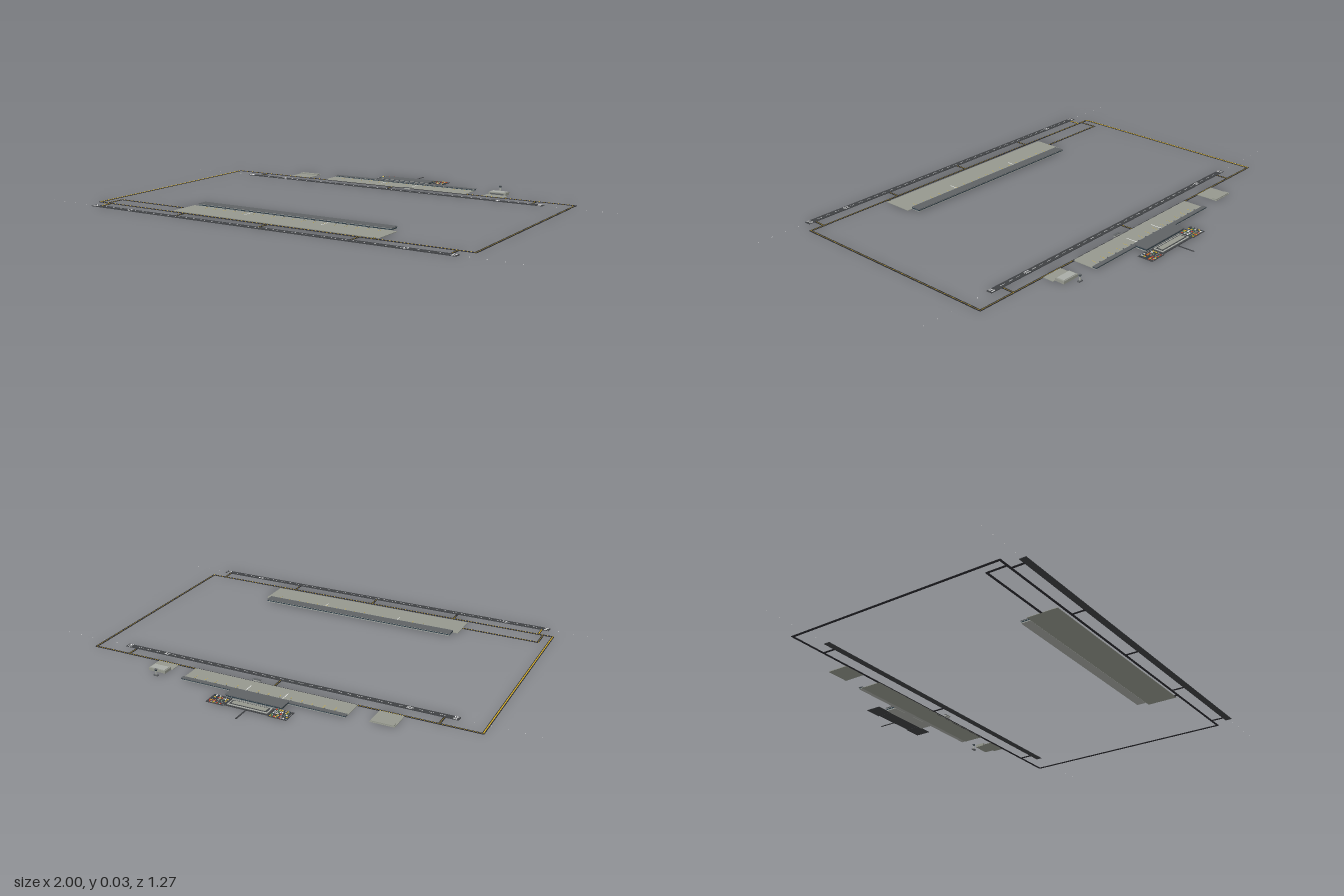
import * as THREE from 'three';

const mat = (name, color) => {
  const m = new THREE.MeshStandardMaterial({ color });
  m.name = name;
  return m;
};

export function createModel() {
  const M = {
    asphalt: mat('asphalt', 0x3f4144),
    taxi: mat('taxiway', 0x2c2c30),
    concrete: mat('concrete', 0x95988e),
    roof: mat('roof grey', 0x5f6265),
    white: mat('white paint', 0xeeeeee),
    yellow: mat('yellow paint', 0xd9b020),
    wall: mat('light wall', 0xa9aca6),
    glass: mat('dark glass', 0x30404a),
    red: mat('red', 0xc8442e),
    green: mat('green', 0x4f7d5a),
  };
  const root = new THREE.Group();

  // Box given by its limits in x, z and y
  const slab = (name, m, x0, x1, z0, z1, y0, y1, parent = root) => {
    const mesh = new THREE.Mesh(new THREE.BoxGeometry(x1 - x0, y1 - y0, z1 - z0), m);
    mesh.position.set((x0 + x1) / 2, (y0 + y1) / 2, (z0 + z1) / 2);
    mesh.name = name;
    parent.add(mesh);
    return mesh;
  };
  const group = (name) => {
    const g = new THREE.Group();
    g.name = name;
    root.add(g);
    return g;
  };

  // Runways with centre dashes, threshold bars and approach lights
  const runway = (name, half, z, w) => {
    const g = group(name), h = w / 2;
    slab('runwaySurface', M.asphalt, -half, half, z - h, z + h, 0, 0.002, g);
    const n = Math.round(half / 0.04);
    for (let i = -n + 2; i <= n - 2; i++)
      slab('centreDash', M.white, i * 0.04 - 0.01, i * 0.04 + 0.01, z - 0.0008, z + 0.0008, 0.002, 0.0023, g);
    for (const s of [-1, 1]) {
      for (let k = -3; k <= 3; k++) {
        if (!k) continue;
        const x = s * (half - 0.014), zz = z + k * w * 0.13;
        slab('thresholdBar', M.white, x - 0.008, x + 0.008, zz - 0.0008, zz + 0.0008, 0.002, 0.0023, g);
      }
      for (const k of [-1, 1]) {
        const x = s * (half - 0.19), zz = z + k * w * 0.22;
        slab('aimingMark', M.white, x - 0.012, x + 0.012, zz - 0.0015, zz + 0.0015, 0.002, 0.0023, g);
      }
      for (let x = 0.999; x > half + 0.03; x -= 0.06)
        slab('approachLight', M.white, s * x - 0.001, s * x + 0.001, z - 0.001, z + 0.001, 0, 0.002, g);
    }
  };
  runway('northRunway', 0.705, -0.298, 0.025);
  runway('southRunway', 0.78, 0.608, 0.027);

  // Taxiways: dark strips with a thin yellow centre line
  const taxiways = group('taxiways');
  const taxi = (x0, z0, x1, z1, w = 0.009) => {
    const strip = (name, m, hw, y0, y1) => {
      const px = x0 === x1 ? hw : 0, pz = z0 === z1 ? hw : 0;
      slab(name, m, x0 - px, x1 + px, z0 - pz, z1 + pz, y0, y1, taxiways);
    };
    strip('taxiway', M.taxi, w / 2, 0, 0.0016);
    strip('taxiLine', M.yellow, 0.0006, 0.0016, 0.0018);
  };
  taxi(-0.815, -0.363, 0.815, -0.363);
  taxi(-0.815, 0.543, 0.815, 0.543);
  taxi(-0.811, -0.363, -0.811, 0.543, 0.01);
  taxi(0.811, -0.363, 0.811, 0.543, 0.01);
  slab('westTaxiLine', M.yellow, -0.813, -0.809, -0.358, 0.538, 0.0017, 0.002, taxiways);
  for (const x of [-0.652, 0, 0.652]) taxi(x, -0.363, x, -0.308);
  for (const x of [-0.75, -0.38, 0, 0.38, 0.75]) taxi(x, 0.543, x, 0.597);
  slab('westLinkLine', M.yellow, -0.752, -0.748, 0.548, 0.595, 0.0017, 0.002, taxiways);
  taxi(-0.774, 0.463, -0.449, 0.463);
  taxi(-0.77, 0.463, -0.77, 0.543);
  taxi(0.433, 0.525, 0.433, 0.543);

  // Apron with stand lines, a long terminal and its jet bridges
  const concourse = (name, ax, az0, az1, tx, tz0, tz1, h, gateZ, dir) => {
    const g = group(name);
    slab('apron', M.concrete, -ax, ax, az0, az1, 0, 0.002, g);
    slab('terminalWall', M.wall, -tx + 0.002, tx - 0.002, tz0 + 0.001, tz1 - 0.001, 0, h - 0.002, g);
    slab('terminalGlass', M.glass, -tx + 0.001, tx - 0.001, tz0 + 0.0005, tz1 - 0.0005, h * 0.3, h * 0.65, g);
    slab('terminalRoof', M.roof, -tx, tx, tz0, tz1, h - 0.002, h, g);
    const n = Math.floor(tx / 0.045);
    for (let i = -n; i < n; i++) {
      const x = (i + 0.5) * 0.045, z1 = gateZ + dir * 0.008;
      slab('jetBridge', M.roof, x - 0.002, x + 0.002, Math.min(gateZ, z1), Math.max(gateZ, z1), 0.003, 0.006, g);
      slab('standLine', M.yellow, x + 0.009, x + 0.0098, gateZ + 0.012, gateZ + 0.035, 0.002, 0.0023, g);
    }
    return g;
  };
  const south = concourse('southTerminal', 0.449, 0.404, 0.529, 0.428, 0.363, 0.404, 0.011, 0.404, 1);
  for (const x of [-0.17, 0.17])
    slab('apronLine', M.white, x - 0.0015, x + 0.0015, 0.41, 0.455, 0.002, 0.0023, south);
  const north = concourse('northTerminal', 0.342, -0.452, -0.361, 0.342, -0.468, -0.45, 0.008, -0.45, 1);
  for (const x of [-0.077, 0.077])
    slab('apronLine', M.white, x - 0.0015, x + 0.0015, -0.445, -0.395, 0.002, 0.0023, north);

  // Main hall behind the north terminal
  slab('mainHallWall', M.wall, -0.115, 0.115, -0.517, -0.468, 0, 0.011, north);
  slab('mainHallGlass', M.glass, -0.1155, 0.1155, -0.5175, -0.4675, 0.004, 0.009, north);
  slab('mainHallRoof', M.roof, -0.118, 0.118, -0.52, -0.466, 0.011, 0.014, north);

  // Parking garage, car parks and access road
  const parking = group('parking');
  slab('forecourt', M.asphalt, -0.09, 0.09, -0.575, -0.518, 0, 0.0015, parking);
  slab('garageRim', M.wall, -0.082, 0.082, -0.566, -0.524, 0.0015, 0.004, parking);
  slab('garageDeck', M.asphalt, -0.077, 0.077, -0.561, -0.529, 0.004, 0.0045, parking);
  slab('garageRoof', M.concrete, -0.07, 0.07, -0.556, -0.534, 0.0045, 0.006, parking);
  const paints = [M.red, M.white, M.green, M.concrete, M.yellow, M.red, M.glass];
  let seed = 7;
  const rnd = () => (seed = (seed * 16807) % 2147483647) / 2147483647;
  for (const s of [-1, 1]) {
    slab('carPark', M.asphalt, s * 0.128 - 0.037, s * 0.128 + 0.037, -0.58, -0.515, 0, 0.0015, parking);
    for (let r = 0; r < 5; r++) for (let c = 0; c < 9; c++) {
      const x = s * 0.128 + (c - 4) * 0.0075, z = -0.5475 + (r - 2) * 0.0125;
      slab('parkingLine', M.white, x - 0.0041, x - 0.0034, z - 0.004, z + 0.004, 0.0015, 0.0017, parking);
      if (rnd() < 0.75)
        slab('car', paints[Math.floor(rnd() * paints.length)], x - 0.002, x + 0.002, z - 0.0035, z + 0.0035, 0.0015, 0.0035, parking);
    }
  }
  slab('accessRoad', M.asphalt, -0.003, 0.003, -0.645, -0.575, 0, 0.0015, parking);

  // Cargo apron, hangar and fire station
  slab('cargoApron', M.concrete, -0.524, -0.428, -0.457, -0.366, 0, 0.002);
  slab('cargoShed', M.concrete, -0.52, -0.432, -0.455, -0.435, 0.002, 0.006);
  slab('hangarApron', M.concrete, 0.417, 0.508, -0.412, -0.366, 0, 0.002);
  const hangar = group('hangar');
  slab('hangarBody', M.concrete, 0.423, 0.497, -0.452, -0.412, 0, 0.011, hangar);
  slab('hangarRoof', M.wall, 0.428, 0.492, -0.448, -0.416, 0.011, 0.013, hangar);
  slab('hangarDoor', M.roof, 0.43, 0.49, -0.412, -0.4115, 0, 0.008, hangar);
  slab('fireStation', M.wall, 0.066, 0.094, -0.354, -0.346, 0, 0.005);
  slab('fireStationRoof', M.roof, 0.064, 0.096, -0.355, -0.345, 0.005, 0.007);

  // Control tower
  const tower = group('controlTower');
  const drum = (name, m, rt, rb, y0, y1) => {
    const c = new THREE.Mesh(new THREE.CylinderGeometry(rt, rb, y1 - y0, 8), m);
    c.position.set(0.445, (y0 + y1) / 2, -0.48);
    c.name = name;
    tower.add(c);
  };
  slab('towerBase', M.roof, 0.436, 0.454, -0.485, -0.475, 0, 0.005, tower);
  drum('towerShaft', M.wall, 0.0025, 0.0035, 0.005, 0.021);
  drum('towerCab', M.glass, 0.006, 0.004, 0.021, 0.026);
  drum('towerRoof', M.roof, 0.006, 0.006, 0.026, 0.0275);
  drum('towerMast', M.roof, 0.0005, 0.0005, 0.0275, 0.031);
  return root;
}
